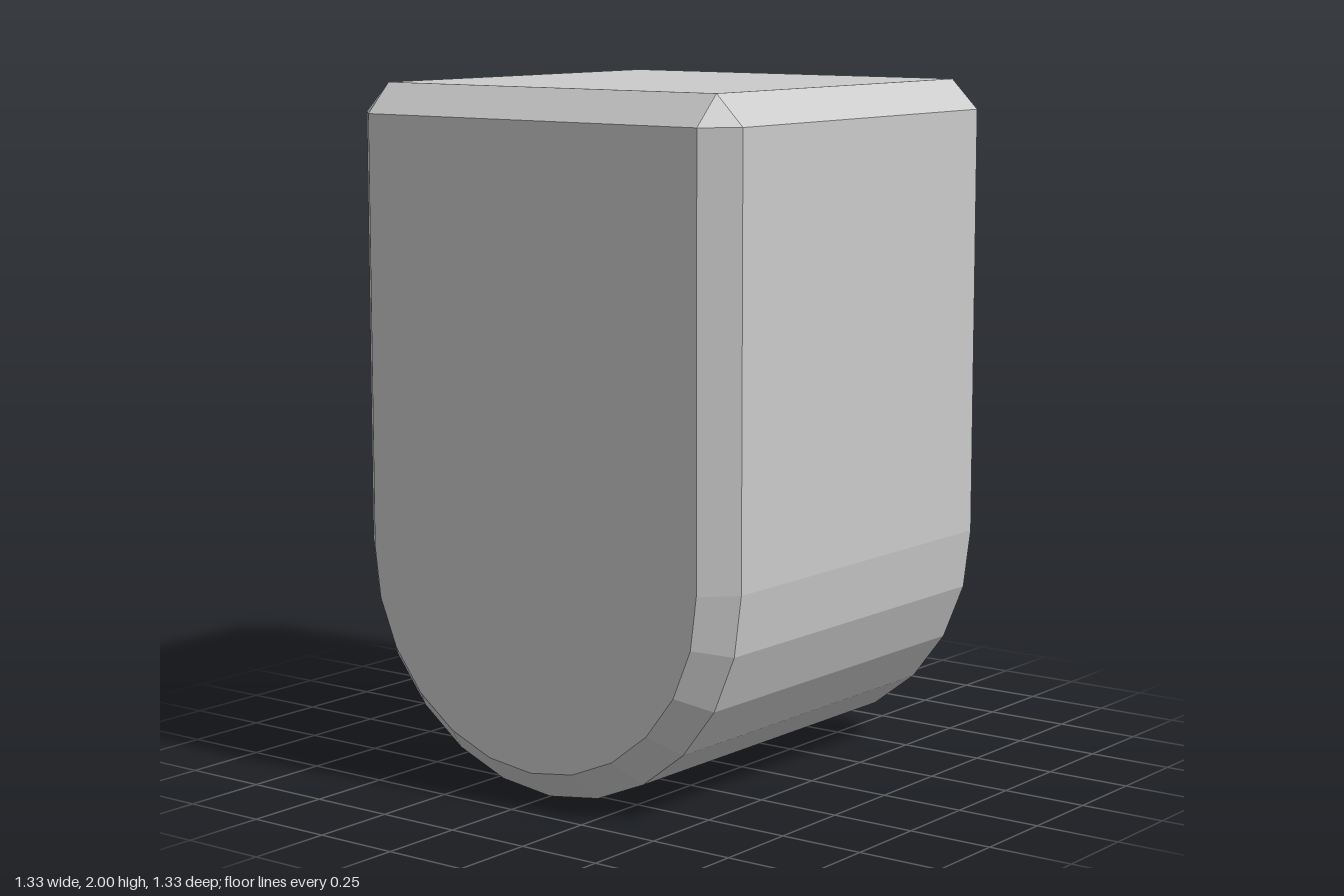
import * as THREE from 'three';

const R = 2 / 3;       // half width, also the radius of the rounded base
const BEVEL = 0.086;
const HEIGHT = 2;
const STEPS = 12;      // segments around the half-round base

// Arch-shaped cross-section as [z, y] points, from front around the base to back and over the top
function section(radius, topY) {
  const points = [];
  for (let i = 0; i <= STEPS; i++) {
    const a = (i / STEPS) * Math.PI;
    points.push([radius * Math.cos(a), R - radius * Math.sin(a)]);
  }
  const shoulder = HEIGHT - BEVEL, inner = R - BEVEL;
  points.push([-radius, shoulder], [-inner, topY], [inner, topY], [radius, shoulder]);
  return points;
}

export function createModel() {
  const group = new THREE.Group();
  group.name = 'roundedBlock';

  const small = section(R - BEVEL, HEIGHT - BEVEL);
  const large = section(R, HEIGHT);
  const rings = [[-R, small], [-R + BEVEL, large], [R - BEVEL, large], [R, small]]
    .map(([x, pts]) => pts.map(([z, y]) => new THREE.Vector3(x, y, z)));

  const positions = [];
  const triangle = (a, b, c) => {
    // Bevel corners collapse to a single triangle
    if (new THREE.Triangle(a, b, c).getArea() < 1e-7) return;
    for (const p of [a, b, c]) positions.push(p.x, p.y, p.z);
  };

  // Bevelled edges and main body between neighbouring cross-sections
  const n = small.length;
  for (let k = 0; k < 3; k++) {
    for (let i = 0; i < n; i++) {
      const j = (i + 1) % n;
      triangle(rings[k][i], rings[k][j], rings[k + 1][j]);
      triangle(rings[k][i], rings[k + 1][j], rings[k + 1][i]);
    }
  }

  // Flat side faces
  const left = new THREE.Vector3(R, 1, 0), right = new THREE.Vector3(-R, 1, 0);
  for (let i = 0; i < n; i++) {
    const j = (i + 1) % n;
    triangle(left, rings[3][i], rings[3][j]);
    triangle(right, rings[0][j], rings[0][i]);
  }

  const geometry = new THREE.BufferGeometry();
  geometry.setAttribute('position', new THREE.Float32BufferAttribute(positions, 3));
  geometry.computeVertexNormals();

  const body = new THREE.Mesh(geometry, new THREE.MeshStandardMaterial({ color: 0xcccccc, flatShading: true }));
  body.name = 'body';
  group.add(body);
  return group;
}
